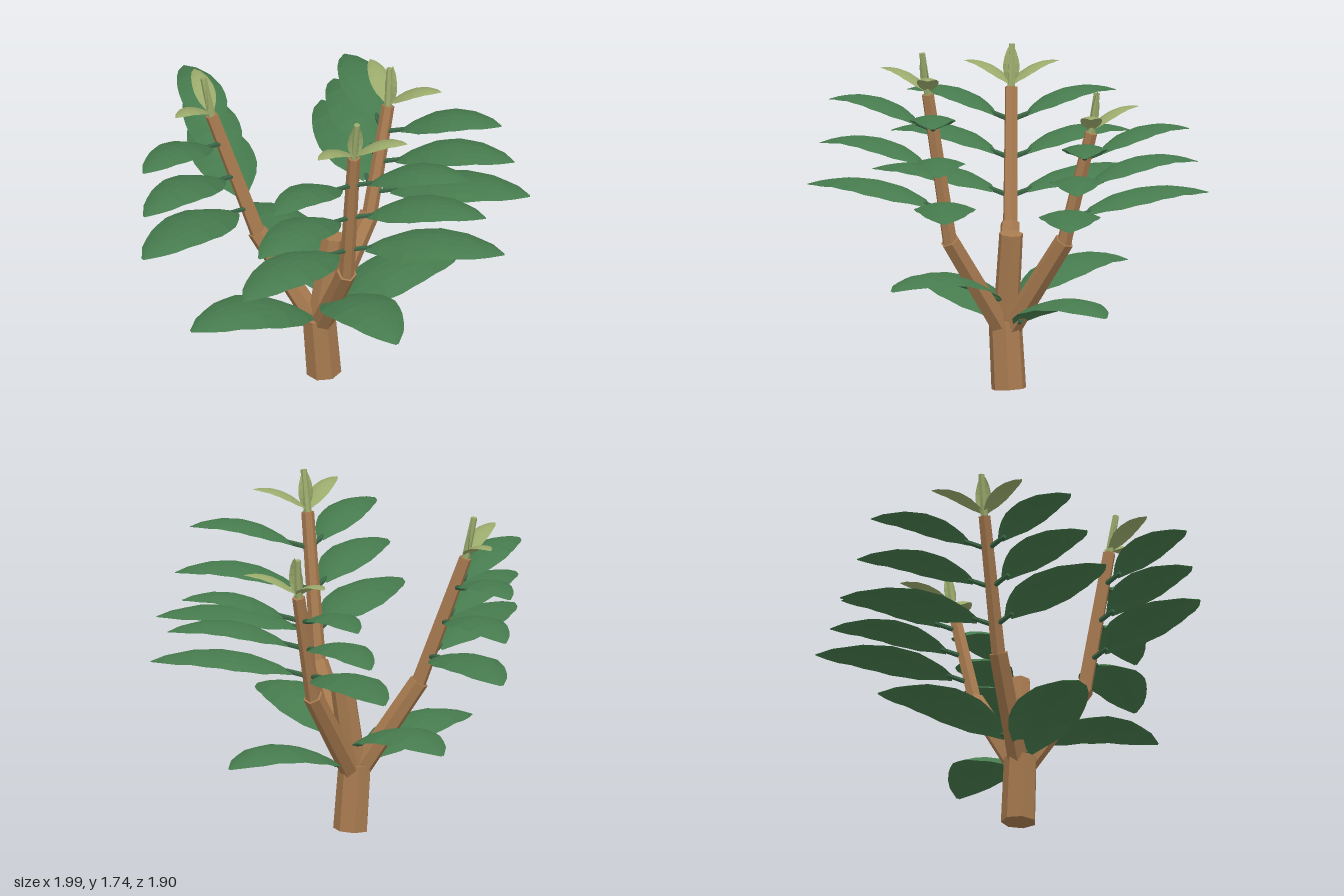
import * as THREE from 'three';

const mat = (color, side = THREE.FrontSide) =>
  new THREE.MeshStandardMaterial({ color, side, flatShading: true });
const bark = mat(0xa87b50);
const leafGreen = mat(0x467a4d, THREE.DoubleSide);
const youngGreen = mat(0x9aa96b, THREE.DoubleSide);
const stalkGreen = mat(0x3a6444);

const V = (x, y, z) => new THREE.Vector3(x, y, z);
const UP = V(0, 1, 0);

// Tapered rod between two points
function rod(name, from, to, r0, r1, sides, material) {
  const dir = to.clone().sub(from);
  const mesh = new THREE.Mesh(new THREE.CylinderGeometry(r1, r0, dir.length(), sides), material);
  mesh.name = name;
  mesh.position.copy(from).addScaledVector(dir, 0.5);
  mesh.quaternion.setFromUnitVectors(UP, dir.normalize());
  return mesh;
}

// Half-width of the blade along its length, as a share of the length
const OUTLINE = [0.04, 0.13, 0.2, 0.24, 0.255, 0.25, 0.23, 0.2, 0.16, 0.105, 0.01];

// Arched blade growing along +z: height = L * (rise * s - fall * s^2), edges droop
function leaf(name, L, widthScale, rise, fall, material) {
  const rows = OUTLINE.length - 1, cols = 6;
  const geo = new THREE.PlaneGeometry(1, 1, cols, rows);
  const p = geo.attributes.position;
  for (let i = 0; i < p.count; i++) {
    const row = Math.floor(i / (cols + 1));
    const u = ((i % (cols + 1)) / cols) * 2 - 1;
    const s = row / rows;
    const half = OUTLINE[row] * L * widthScale;
    const ripple = 0.003 * L * (row % 2 ? 1 : -1) * Math.abs(u);
    const y = L * (rise * s - fall * s * s) - half * 0.24 * u * u + ripple;
    p.setXYZ(i, u * half, y, s * L);
  }
  geo.computeVertexNormals();
  const mesh = new THREE.Mesh(geo, material);
  mesh.name = name;
  return mesh;
}

// Leaf on a short stalk, heading outwards from a point on the stem
function stalkedLeaf(origin, heading, { L, width, rise, fall, gap }) {
  const g = new THREE.Group();
  g.name = 'stalkedLeaf';
  const blade = leaf('leafBlade', L, width, rise, fall, leafGreen);
  blade.position.set(0, 0.022, gap);
  g.add(blade, rod('leafStalk', V(0, 0, 0), V(0, 0.03, gap + 0.03), 0.014, 0.012, 6, stalkGreen));
  g.position.copy(origin);
  g.rotation.y = heading;
  return g;
}

// Knee and top of each branch, the tip of its shoot, and the twist of its leaf pairs
const FORK = V(0.02, 0.27, 0.08);
const BRANCHES = [
  { name: 'frontBranch', knee: V(-0.01, 0.775, 0.415), top: V(-0.035, 1.52, 0.535), tip: V(-0.037, 1.73, 0.57), twist: -0.05 },
  { name: 'rightBranch', knee: V(-0.215, 0.775, -0.14), top: V(-0.39, 1.42, -0.29), tip: V(-0.42, 1.63, -0.32), twist: 0.04 },
  { name: 'leftBranch', knee: V(0.355, 0.775, -0.02), top: V(0.49, 1.33, -0.08), tip: V(0.51, 1.53, -0.1), twist: 0.03 },
];
// Leaf pairs along the upper branch, smaller and steeper towards the top
const TIERS = [
  { t: 0.2, L: 0.7, width: 0.88, rise: 0.49, fall: 0.42, gap: 0.09 },
  { t: 0.48, L: 0.595, width: 0.88, rise: 0.63, fall: 0.53, gap: 0.09 },
  { t: 0.76, L: 0.505, width: 0.88, rise: 0.71, fall: 0.55, gap: 0.09 },
];
const TRUNK_LEAF = { L: 0.69, width: 1.02, rise: 0.78, fall: 0.62, gap: 0.065 };

function branch({ name, knee, top, tip, twist }) {
  const g = new THREE.Group();
  g.name = name;
  g.add(rod('lowerBranch', FORK, knee, 0.056, 0.05, 6, bark));
  g.add(rod('upperBranch', knee.clone().lerp(top, -0.03), top, 0.038, 0.032, 6, bark));
  const out = Math.atan2(top.x - FORK.x, top.z - FORK.z) + twist;

  for (const side of [-1, 1]) {
    const heading = out + side * Math.PI / 3;
    for (const tier of TIERS)
      g.add(stalkedLeaf(knee.clone().lerp(top, tier.t), heading, tier));
    // Spreading young leaf
    const young = leaf('youngLeaf', 0.27, 0.78, 0.95, 0.58, youngGreen);
    young.position.copy(top).y += 0.012;
    young.rotation.y = heading;
    g.add(young);
  }

  // Shoot with one upright young leaf
  g.add(rod('shoot', top, tip, 0.02, 0.016, 6, youngGreen));
  const upright = leaf('uprightLeaf', 0.2, 0.8, 0.2, 0.2, youngGreen);
  upright.position.copy(top).add(V(Math.sin(out) * 0.012, 0.012, Math.cos(out) * 0.012));
  upright.rotation.set(-Math.PI / 2 + 0.12, out, 0, 'YXZ');
  g.add(upright);
  return g;
}

export function createModel() {
  const plant = new THREE.Group();
  plant.name = 'shrub';

  // Trunk and cut central stub
  plant.add(rod('trunk', V(0.042, 0.003, 0.08), V(0.014, 0.34, 0.08), 0.088, 0.084, 7, bark));
  plant.add(rod('cutStub', V(0.015, 0.28, 0.08), V(0.085, 0.79, 0.1), 0.066, 0.06, 7, bark));

  // Two crossed pairs of leaves around the trunk
  for (let i = 0; i < 4; i++) {
    const y = i % 2 ? 0.325 : 0.44;
    plant.add(stalkedLeaf(V(0.046, y, 0.08), i * Math.PI / 2, TRUNK_LEAF));
  }

  for (const b of BRANCHES) plant.add(branch(b));
  return plant;
}
